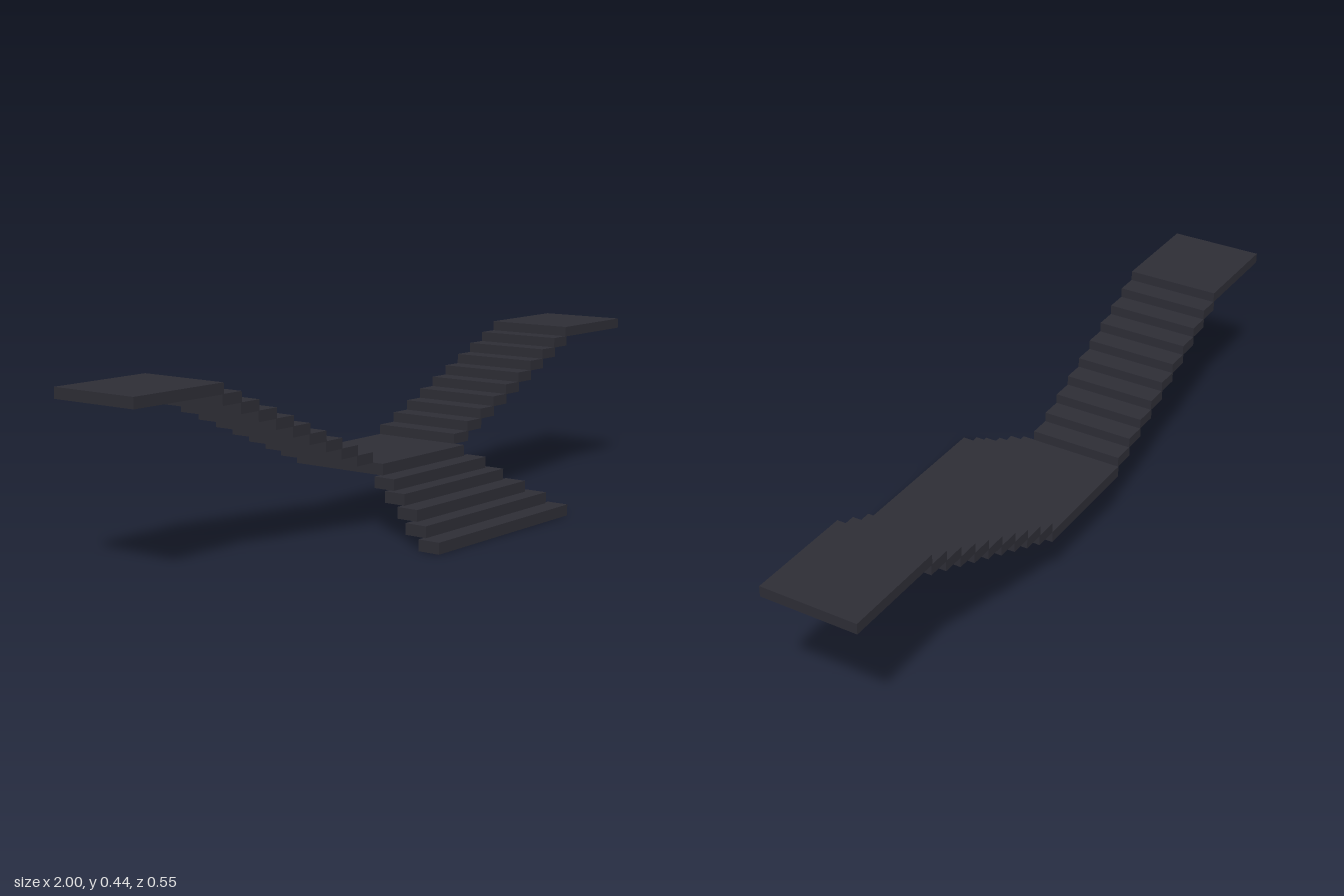
import * as THREE from 'three';

export function createModel() {
  const model = new THREE.Group();
  model.name = 'splitStaircase';
  const slate = new THREE.MeshStandardMaterial({ color: 0x2d2d35 });
  slate.name = 'dark slate';

  // Slab given by its extents on each axis
  const slab = (name, parent, x0, x1, y0, y1, z0, z1) => {
    const mesh = new THREE.Mesh(new THREE.BoxGeometry(x1 - x0, y1 - y0, z1 - z0), slate);
    mesh.name = name;
    mesh.position.set((x0 + x1) / 2, (y0 + y1) / 2, (z0 + z1) / 2);
    parent.add(mesh);
  };
  const addGroup = (name) => {
    const group = new THREE.Group();
    group.name = name;
    model.add(group);
    return group;
  };

  const cx = -0.003; // the flights meet slightly off centre
  const rise = 0.0295;

  // Front flight, narrowing as it climbs
  const front = addGroup('frontFlight');
  const halfWidths = [0.283, 0.263, 0.235, 0.214, 0.198];
  const fronts = [0.273, 0.218, 0.17, 0.114, 0.068];
  halfWidths.forEach((w, i) => {
    slab('frontStep' + (i + 1), front, cx - w, cx + w, rise * i, rise * (i + 1), fronts[i] - 0.062, fronts[i]);
  });

  // Middle landing
  slab('landing', model, cx - 0.174, cx + 0.174, 0.147, 0.177, -0.273, 0.014);

  // Side flights, each ending in an upper platform
  const zBack = -0.272, zFront = -0.018, sideRise = 0.0266, run = 0.0602;
  for (const side of [1, -1]) {
    const label = side > 0 ? 'left' : 'right';
    const flight = addGroup(label + 'Flight');
    const place = (name, a, b, top) => {
      const xs = [cx + side * a, side * b + (b < 1 ? cx : 0)].sort((p, q) => p - q);
      slab(name, flight, xs[0], xs[1], top - 0.0275, top, zBack, zFront);
    };
    for (let i = 0; i < 9; i++) {
      const start = 0.173 + run * i;
      place(label + 'Step' + (i + 1), start, start + 0.064, 0.177 + sideRise * (i + 1));
    }
    place(label + 'Platform', 0.714, 1, 0.443);
  }
  return model;
}
